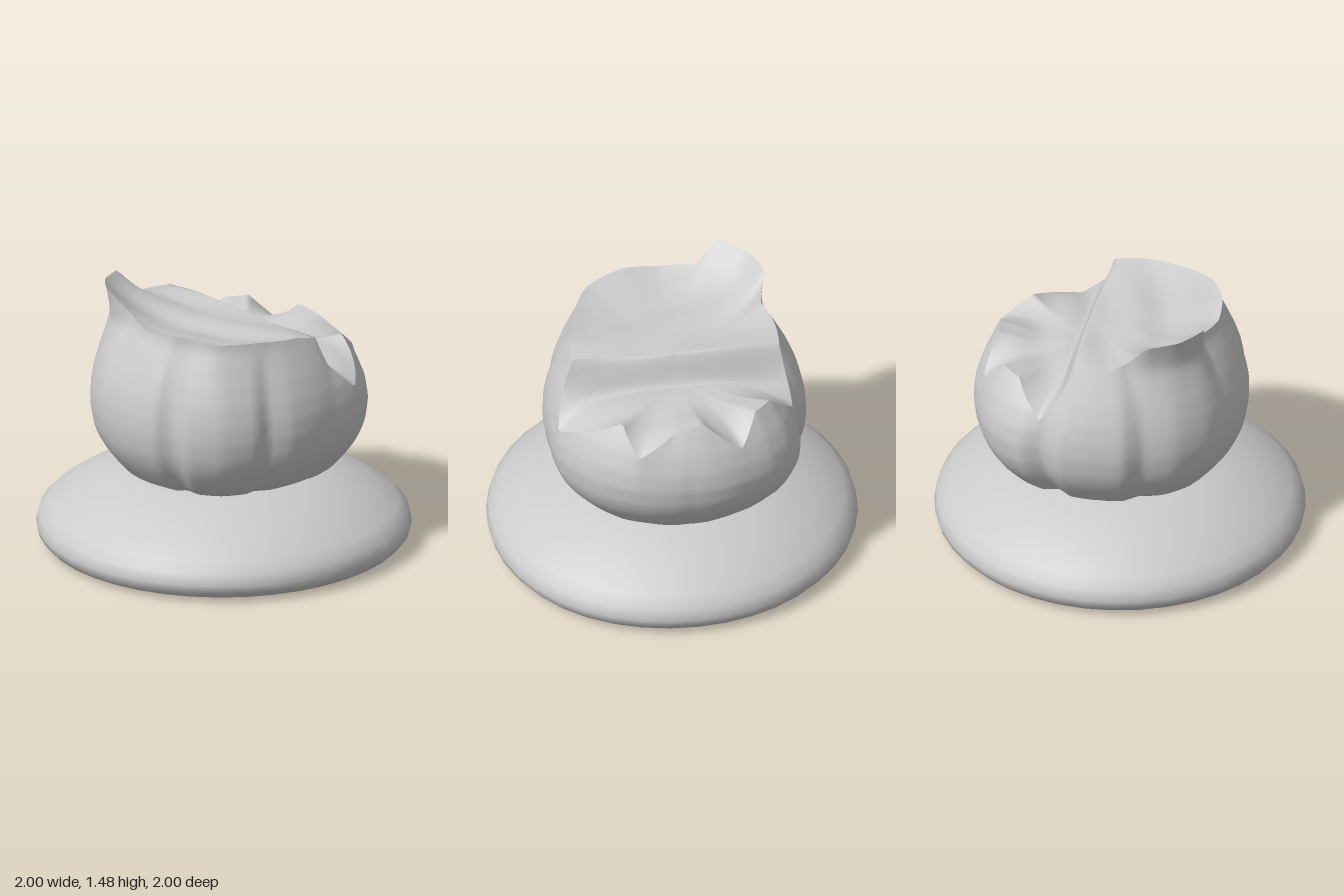
import * as THREE from 'three';

const CZ = -0.15; // the break across the top runs along this z
const TAU = Math.PI * 2;

const material = new THREE.MeshStandardMaterial({ color: 0xcccccc, side: THREE.DoubleSide });

// Surface through f(angle, v), angle in a full turn, v in 0..1
function ringMesh(name, nu, nv, f) {
  const pos = [], index = [];
  for (let j = 0; j <= nv; j++)
    for (let i = 0; i < nu; i++) pos.push(...f((i / nu) * TAU, j / nv));
  for (let j = 0; j < nv; j++)
    for (let i = 0; i < nu; i++) {
      const n = (i + 1) % nu;
      const a = j * nu + i, b = j * nu + n, c = a + nu, d = b + nu;
      index.push(a, c, b, c, d, b);
    }
  const geo = new THREE.BufferGeometry();
  geo.setAttribute('position', new THREE.Float32BufferAttribute(pos, 3));
  geo.setIndex(index);
  geo.computeVertexNormals();
  const mesh = new THREE.Mesh(geo, material);
  mesh.name = name;
  return mesh;
}

// Piecewise-linear lookup in rows of [key, ...values]
function lookup(rows, k) {
  let i = 1;
  while (i < rows.length - 1 && rows[i][0] < k) i++;
  const a = rows[i - 1], b = rows[i];
  const t = THREE.MathUtils.clamp((k - a[0]) / (b[0] - a[0]), 0, 1);
  return a.slice(1).map((v, n) => v + (b[n + 1] - v) * t);
}

// [x, y, z] points to rows of [angle, radius, y] about the break's middle
function polar(points) {
  let last = -1;
  return points.map(([x, y, z]) => {
    let a = Math.atan2(z - CZ, x);
    while (a < last - 1e-6) a += TAU;
    last = a;
    return [a, Math.hypot(x, z - CZ), y];
  });
}

// Widest outline of the lobed bowl
const plan = polar([
  [0.7, 0, CZ], [0.705, 0, -0.03], [0.68, 0, 0.13], [0.61, 0, 0.24], [0.615, 0, 0.33], [0.52, 0, 0.5],
  [0.36, 0, 0.61], [0.27, 0, 0.6], [0.22, 0, 0.62], [0.18, 0, 0.67], [0, 0, 0.695], [-0.2, 0, 0.67],
  [-0.42, 0, 0.57], [-0.56, 0, 0.42], [-0.61, 0, 0.25], [-0.69, 0, 0.16], [-0.71, 0, 0], [-0.7, 0, -0.2],
  [-0.62, 0, -0.31], [-0.65, 0, -0.42], [-0.56, 0, -0.58], [-0.33, 0, -0.72], [0, 0, -0.785],
  [0.3, 0, -0.735], [0.54, 0, -0.58], [0.675, 0, -0.38], [0.7, 0, CZ],
]);

// Broken rim: high round the front, dropping to low jagged peaks at the back
const rim = polar([
  [0.57, 1.27, CZ], [0.56, 1.3, -0.03], [0.5, 1.32, 0.22], [0.4, 1.33, 0.42], [0.2, 1.35, 0.52],
  [0, 1.33, 0.54], [-0.2, 1.36, 0.48], [-0.33, 1.48, 0.53], [-0.47, 1.47, 0.42], [-0.54, 1.46, 0.26],
  [-0.5, 1.33, 0.15], [-0.55, 1.29, 0.05], [-0.56, 1.26, CZ],
  [-0.58, 1.14, -0.2], [-0.61, 0.96, -0.32], [-0.46, 1.13, -0.46], [-0.37, 1.14, -0.56],
  [-0.28, 0.99, -0.69], [-0.08, 1.15, -0.65], [0.08, 1.12, -0.66], [0.28, 1.0, -0.71],
  [0.35, 1.13, -0.55], [0.67, 0.96, -0.35], [0.62, 1.12, -0.19], [0.57, 1.27, CZ],
]);

// Bowl width by height, as a share of the outline
const profile = [
  [0.425, 0.68], [0.45, 0.765], [0.5, 0.825], [0.55, 0.88], [0.6, 0.925], [0.65, 0.957], [0.7, 0.98],
  [0.8, 1], [0.9, 0.992], [1.0, 0.96], [1.1, 0.905], [1.2, 0.835], [1.3, 0.76], [1.5, 0.7],
];

function wallPoint(angle, t) {
  const [rimR, rimY] = lookup(rim, angle);
  const [planR] = lookup(plan, angle);
  const y = 0.425 + (rimY - 0.425) * t;
  const p = lookup(profile, y)[0];
  const topR = planR * lookup(profile, rimY)[0];
  const r = planR * p + (rimR - topR) * t ** 4;
  const shift = 0.14 * (1 - p) * (1 - t ** 4);
  return [r * Math.cos(angle), y, CZ + shift + r * Math.sin(angle)];
}

// Creased top: a high front shelf dropping steeply to a lower back, met by the rim at s = 1
function topPoint(angle, s) {
  const [rimR, rimY] = lookup(rim, angle);
  const x = s * rimR * Math.cos(angle), z = CZ + s * rimR * Math.sin(angle);
  const shelf = 1.1 + 0.17 * THREE.MathUtils.smoothstep(z, CZ - 0.09, CZ);
  const fold = 0.01 * Math.sin(x * 5 + z * 18) * Math.sin(Math.PI * s);
  return [x, shelf + (rimY - shelf) * s ** 4 + fold, z];
}

export function createModel() {
  const group = new THREE.Group();

  // Wide domed base, bulging a little towards the back left
  const outline = [
    [0, 0], [0.86, 0.004], [0.96, 0.025], [0.99, 0.06], [1, 0.1], [0.985, 0.16], [0.93, 0.215],
    [0.82, 0.29], [0.68, 0.36], [0.54, 0.41], [0.42, 0.43], [0, 0.43],
  ];
  group.add(ringMesh('base', 40, outline.length - 1, (angle, v) => {
    const [r, y] = outline[Math.round(v * (outline.length - 1))];
    const bulge = 1 + 0.025 * Math.max(0, Math.cos(angle + Math.PI / 4)) ** 6;
    return [r * bulge * Math.cos(angle), y, r * bulge * Math.sin(angle)];
  }));

  // Lobed bowl wall, its broken top and its underside
  group.add(ringMesh('bowlWall', 180, 28, wallPoint));
  group.add(ringMesh('brokenTop', 180, 30, topPoint));
  group.add(ringMesh('bowlBottom', 180, 1, (angle, v) => {
    const [x, y, z] = wallPoint(angle, 0);
    return [x * v, y, -0.05 + (z + 0.05) * v];
  }));

  return group;
}
